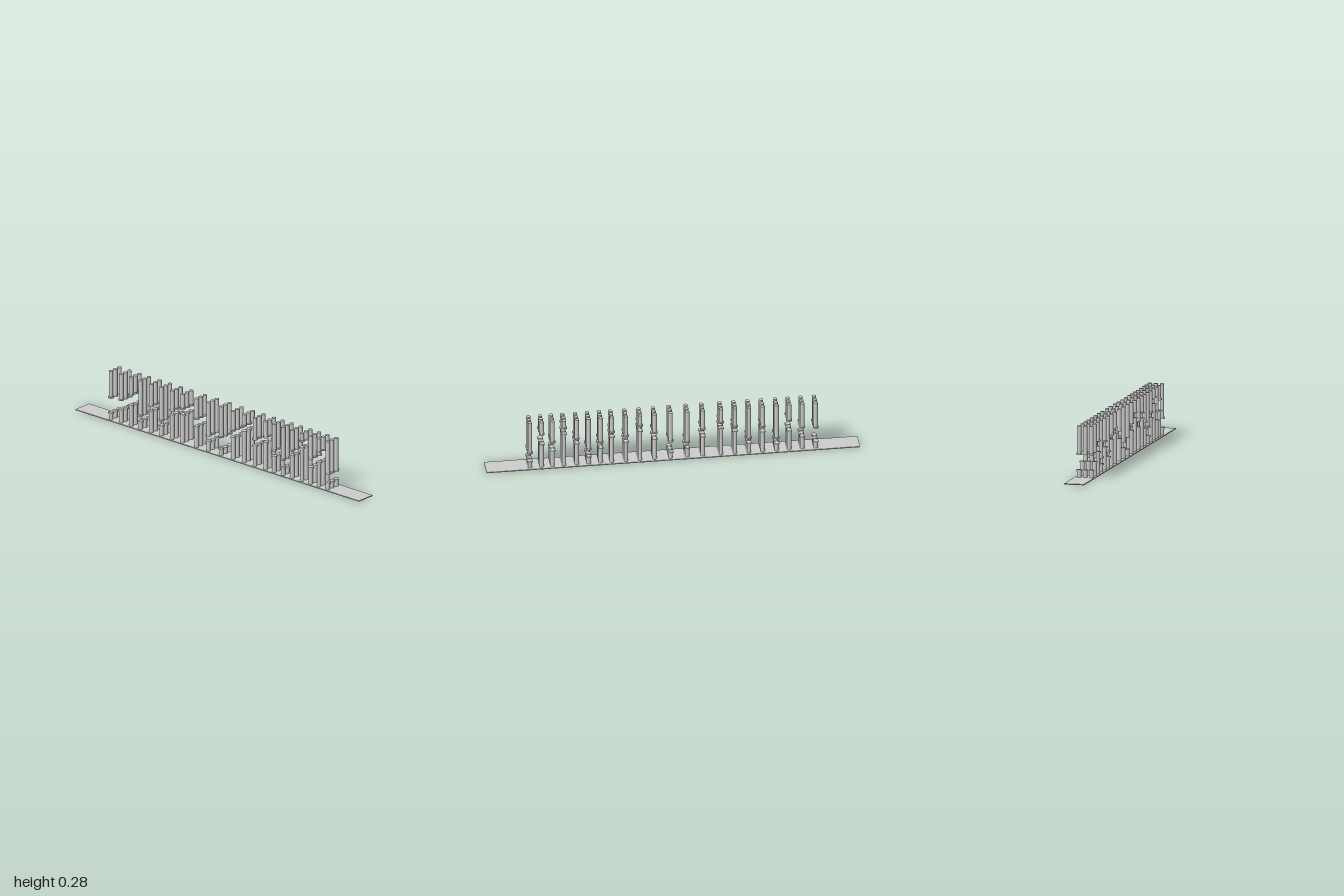
import * as THREE from 'three';

export function createModel() {
  const model = new THREE.Group();
  const mat = new THREE.MeshStandardMaterial({ color: 0xcccccc });
  const PIPE_R = 0.0115, FLANGE_R = 0.0155, FLANGE_H = 0.008, PLATE_H = 0.005;

  function cylinder(name, r, y0, y1, parent) {
    const mesh = new THREE.Mesh(new THREE.CylinderGeometry(r, r, y1 - y0, 24), mat);
    mesh.name = name;
    mesh.position.y = (y0 + y1) / 2;
    parent.add(mesh);
  }

  // Thin base strip
  const plate = new THREE.Mesh(new THREE.BoxGeometry(0.109, PLATE_H, 2), mat);
  plate.name = 'basePlate';
  plate.position.y = PLATE_H / 2;
  model.add(plate);

  // Each row of pipes: z, top of the lower pipe, bottom of the upper pipe
  const rows = [
    [0.765, 0.047, 0.09], [0.702, 0.147, 0.2], [0.644, 0.104, 0.147],
    [0.582, 0.2, 0.229], [0.514, 0.137, 0.158], [0.45, 0.05, 0.09],
    [0.386, 0.099, 0.126], [0.326, 0.163, 0.184], [0.251, 0.126, 0.153],
    [0.175, 0.187, 0.211], [0.097, 0.131, 0.163], [0.012, 0.043, 0.104],
    [-0.077, 0.063, 0.09], [-0.161, 0.126, 0.163], [-0.258, 0.169, 0.195],
    [-0.333, 0.147, 0.166], [-0.408, 0.067, 0.088], [-0.481, 0.131, 0.153],
    [-0.556, 0.051, 0.078], [-0.623, 0.126, 0.179], [-0.693, 0.083, 0.131],
    [-0.765, 0.047, 0.126],
  ];

  rows.forEach(([z, low, high], i) => {
    const top = i < 11 ? 0.279 : 0.282;
    const row = new THREE.Group();
    row.name = 'pipeRow' + (i + 1);
    row.position.z = z;
    for (const x of [-0.0365, -0.003, 0.0305]) {
      const pair = new THREE.Group();
      pair.name = 'pipePair';
      pair.position.x = x;
      // Lower pipe with a flange around its top end
      cylinder('lowerPipe', PIPE_R, PLATE_H - 0.001, low, pair);
      cylinder('lowerFlange', FLANGE_R, low - FLANGE_H - 0.001, low - 0.001, pair);
      // Upper pipe with a flange around its bottom end
      cylinder('upperPipe', PIPE_R, high, top, pair);
      cylinder('upperFlange', FLANGE_R, high + 0.001, high + 0.001 + FLANGE_H, pair);
      row.add(pair);
    }
    model.add(row);
  });

  return model;
}
